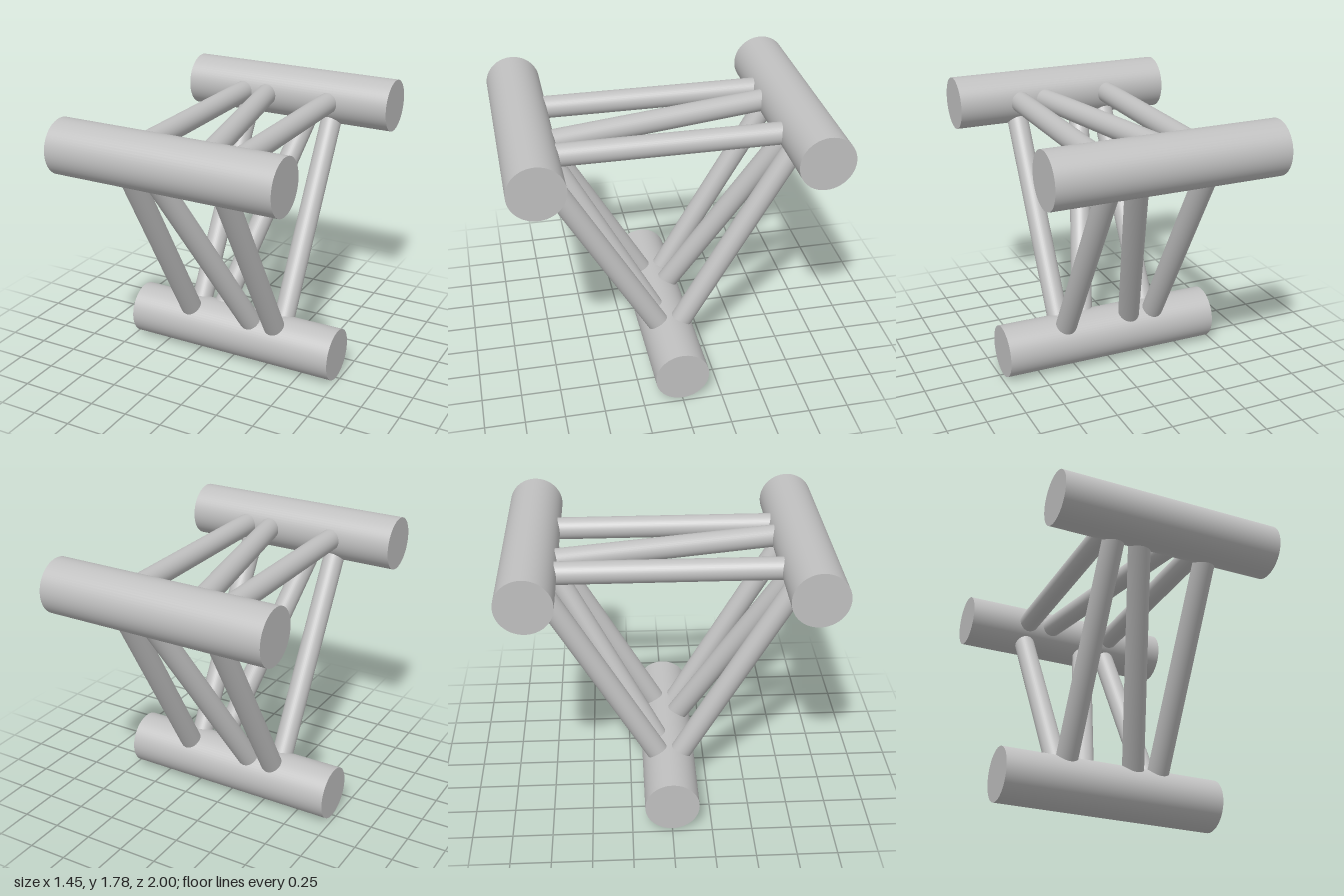
import * as THREE from 'three';

const CHORD_R = 0.17, CHORD_LENGTH = 1.446, STRUT_R = 0.069;
const STRAIGHT_X = 0.31, DIAGONAL_X = 0.168;

export function createModel() {
  const group = new THREE.Group();
  const steel = new THREE.MeshStandardMaterial({ color: 0xc0c0c0 });
  steel.name = 'light grey steel';

  // Round bar running from point a to point b
  function bar(name, a, b, radius, sides) {
    const dir = b.clone().sub(a);
    const mesh = new THREE.Mesh(new THREE.CylinderGeometry(radius, radius, dir.length(), sides), steel);
    mesh.position.copy(a).add(b).multiplyScalar(0.5);
    mesh.quaternion.setFromUnitVectors(new THREE.Vector3(0, 1, 0), dir.normalize());
    mesh.name = name;
    group.add(mesh);
  }

  // Three chords on the corners of an equilateral triangle
  const chords = [
    { name: 'bottom', y: 0.17, z: 0 },
    { name: 'topFront', y: 1.61, z: 0.83 },
    { name: 'topBack', y: 1.61, z: -0.83 },
  ];
  const at = (chord, x) => new THREE.Vector3(x, chord.y, chord.z);

  chords.forEach((chord, i) => {
    const next = chords[(i + 1) % 3];
    const half = CHORD_LENGTH / 2;
    bar(chord.name + 'Chord', at(chord, -half), at(chord, half), CHORD_R, 64);

    // Each face has two straight struts and one diagonal
    const face = chord.name + 'To' + next.name[0].toUpperCase() + next.name.slice(1);
    bar(face + 'RightStrut', at(chord, -STRAIGHT_X), at(next, -STRAIGHT_X), STRUT_R, 40);
    bar(face + 'LeftStrut', at(chord, STRAIGHT_X), at(next, STRAIGHT_X), STRUT_R, 40);
    bar(face + 'Diagonal', at(chord, DIAGONAL_X), at(next, -DIAGONAL_X), STRUT_R, 40);
  });

  return group;
}
